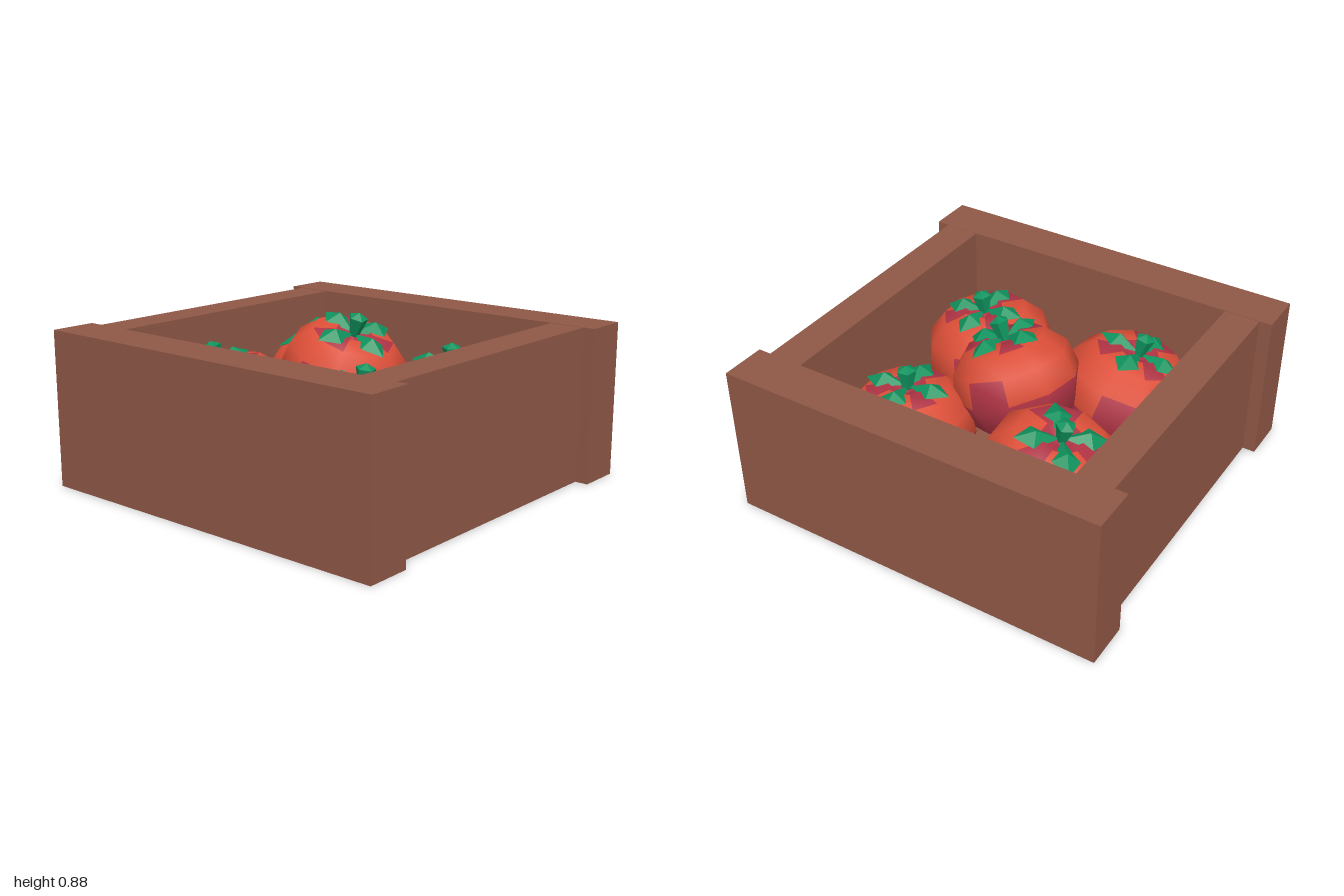
import * as THREE from 'three';

const mat = (name, color, extra = {}) => {
  const m = new THREE.MeshStandardMaterial({ color, ...extra });
  m.name = name;
  return m;
};

// Smooth tomato body: orange shoulders, crimson underside, dimple and patches
function tomatoGeometry() {
  const profile = [[0, -0.25], [0.16, -0.28], [0.29, -0.17], [0.35, 0], [0.32, 0.14], [0.22, 0.245], [0.1, 0.265], [0, 0.21]]
    .map(([r, y]) => new THREE.Vector2(r, y));
  const columns = 10, rows = profile.length - 1;
  const geo = new THREE.LatheGeometry(profile, columns);
  for (let i = 0; i < columns; i++) {
    for (let j = 0; j < rows; j++) {
      const crimson = j < 3 || j === 6 || (j === 3 && i % 5 === 0) || (j === 5 && i % 3 === 0);
      geo.addGroup((i * rows + j) * 6, 6, crimson ? 1 : 0);
    }
  }
  return geo;
}

// Pointed leaf folded along a raised ridge, running out along +x
function leafGeometry() {
  const base = [0.01, 0.02, 0], ridge = [0.13, 0.065, 0], tip = [0.23, 0.015, 0];
  const a = [0.14, 0.02, 0.07], b = [0.14, 0.02, -0.07];
  const faces = [base, a, ridge, ridge, a, tip, base, ridge, b, b, ridge, tip, base, b, a, a, b, tip];
  const geo = new THREE.BufferGeometry();
  geo.setAttribute('position', new THREE.Float32BufferAttribute(faces.flat(), 3));
  geo.computeVertexNormals();
  return geo;
}

export function createModel() {
  const model = new THREE.Group();
  model.name = 'tomatoCrate';
  const wood = mat('wood brown', 0x8f5846);
  const orange = mat('tomato orange', 0xdd4f38);
  const crimson = mat('tomato crimson', 0xb03445);
  const green = mat('leaf green', 0x0f935e, { flatShading: true, side: THREE.DoubleSide });

  // Crate
  const board = (name, w, h, d, x, y, z) => {
    const m = new THREE.Mesh(new THREE.BoxGeometry(w, h, d), wood);
    m.name = name;
    m.position.set(x, y, z);
    model.add(m);
  };
  board('frontBoard', 2, 0.8, 0.235, 0, 0.4, 0.867);
  board('backBoard', 2, 0.8, 0.235, 0, 0.4, -0.867);
  board('leftBoard', 0.185, 0.796, 1.5, 0.842, 0.4, 0);
  board('rightBoard', 0.185, 0.796, 1.5, -0.842, 0.4, 0);
  board('floorBoard', 1.5, 0.08, 1.5, 0, 0.042, 0);

  const bodyGeo = tomatoGeometry();
  const leafGeo = leafGeometry();
  const stemGeo = new THREE.CylinderGeometry(0.05, 0.025, 0.1, 5);
  const stemTipGeo = new THREE.ConeGeometry(0.05, 0.025, 5);

  // Tomatoes: x, y, z, radius, lean to x, lean to z, leaf turn
  const tomatoes = [
    [-0.4, 0.37, -0.365, 0.355, -0.26, -0.05, Math.PI / 4 - 0.1],
    [0.39, 0.35, -0.4, 0.335, 0.04, 0.04, 0.12],
    [-0.39, 0.37, 0.39, 0.355, -0.22, 0.15, 0],
    [0.4, 0.37, 0.36, 0.35, 0.14, -0.04, 0],
    [0, 0.55, -0.02, 0.325, 0.36, 0.06, -0.17],
  ];
  tomatoes.forEach(([x, y, z, r, leanX, leanZ, turn]) => {
    const tomato = new THREE.Group();
    tomato.name = 'tomato';
    tomato.position.set(x, y, z);
    tomato.rotation.set(leanZ, turn, -leanX, 'XZY');

    const body = new THREE.Mesh(bodyGeo, [orange, crimson]);
    body.name = 'tomatoBody';
    body.scale.setScalar(r / 0.35);
    tomato.add(body);

    // Leaf crown and flared stem
    const crown = new THREE.Group();
    crown.name = 'leafCrown';
    crown.position.y = 0.235 * r / 0.35;
    for (let i = 0; i < 4; i++) {
      const leaf = new THREE.Mesh(leafGeo, green);
      leaf.name = 'leaf';
      leaf.rotation.y = i * Math.PI / 2;
      crown.add(leaf);
    }
    const stem = new THREE.Mesh(stemGeo, green);
    stem.name = 'stem';
    stem.position.y = 0.06;
    const stemTip = new THREE.Mesh(stemTipGeo, green);
    stemTip.name = 'stemTip';
    stemTip.position.y = 0.1225;
    crown.add(stem, stemTip);
    tomato.add(crown);
    model.add(tomato);
  });
  return model;
}
